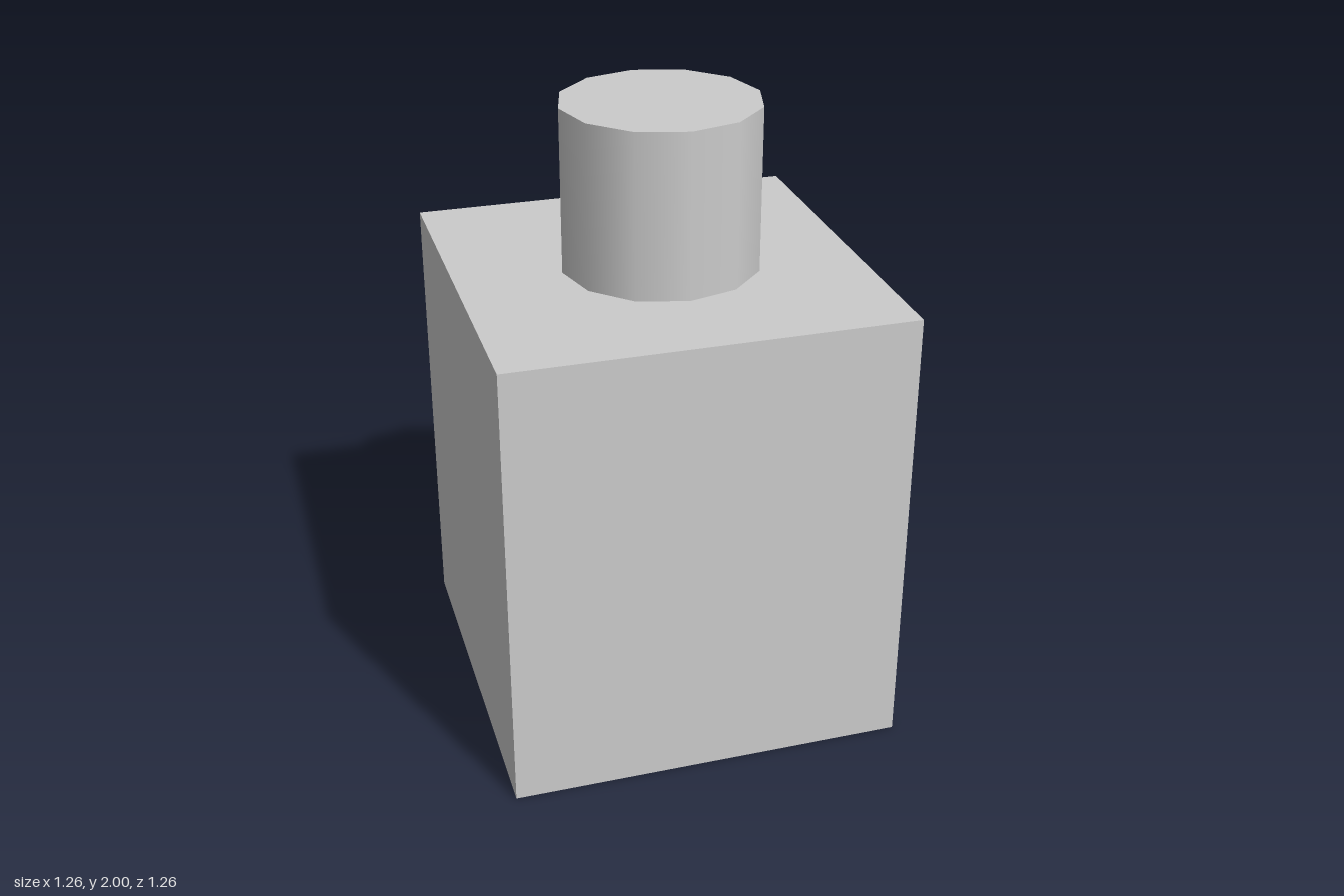
import * as THREE from 'three';

export function createModel() {
  const model = new THREE.Group();
  const material = new THREE.MeshStandardMaterial({ color: 0xcccccc });

  const bodyWidth = 1.264, bodyHeight = 1.475;
  const neckRadius = 0.315, neckHeight = 2 - bodyHeight;

  // Square body
  const body = new THREE.Mesh(new THREE.BoxGeometry(bodyWidth, bodyHeight, bodyWidth), material);
  body.name = 'body';
  body.position.y = bodyHeight / 2;

  // Twelve-sided smooth neck, slightly off centre
  const neck = new THREE.Mesh(new THREE.CylinderGeometry(neckRadius, neckRadius, neckHeight, 12), material);
  neck.name = 'neck';
  neck.position.set(0.02, bodyHeight + neckHeight / 2, -0.002);

  model.add(body, neck);
  return model;
}
